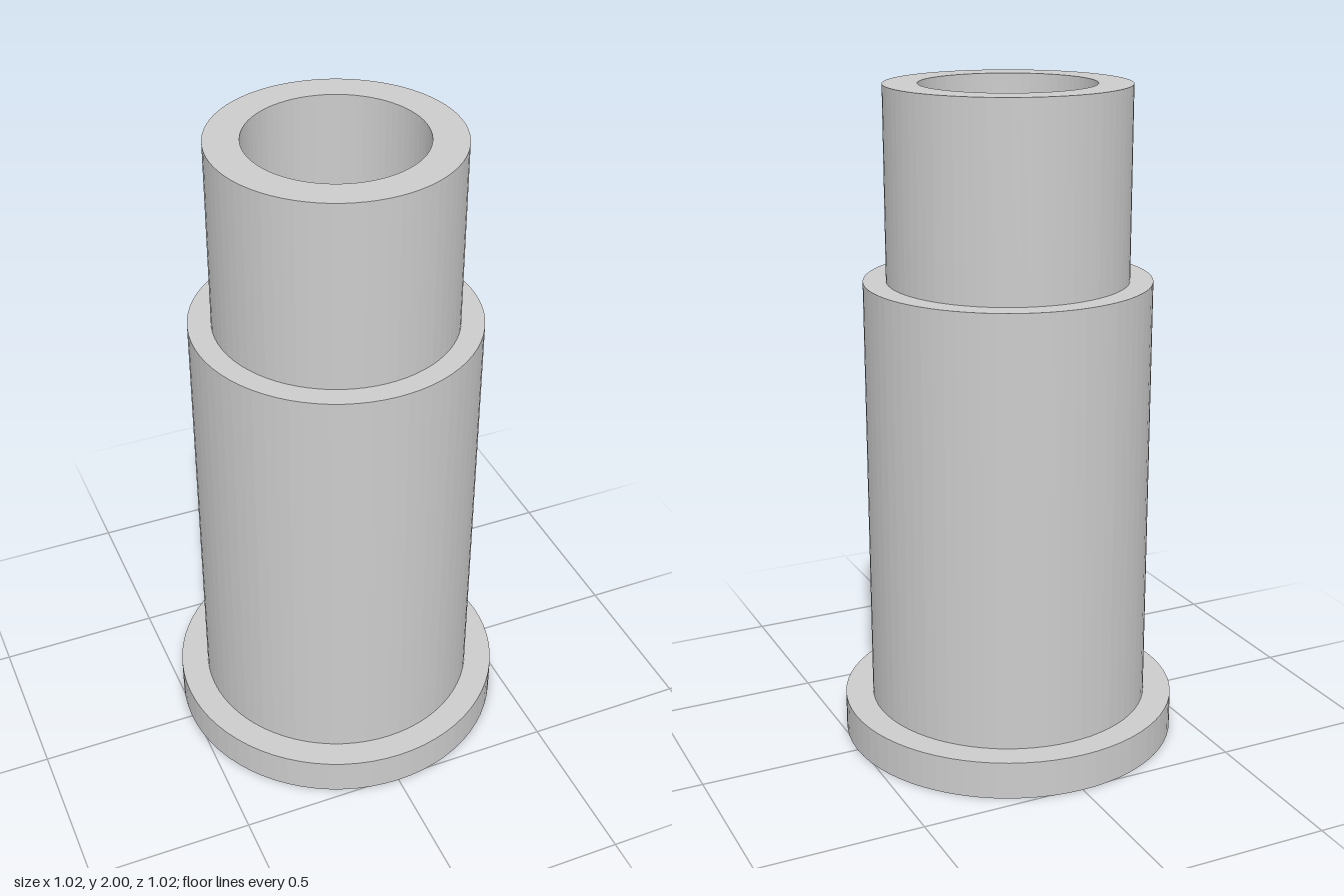
import * as THREE from 'three';

export function createModel() {
  const group = new THREE.Group();
  group.name = 'steppedSleeve';

  const flangeR = 0.512, bodyR = 0.427, neckR = 0.359; // outer radii
  const neckBoreR = 0.258, bodyBoreR = 0.359;          // inner radii
  const flangeTop = 0.115, shoulder = 1.43, top = 2;
  const boreStep = 1.32;                               // ledge inside, just under the shoulder

  // Closed wall section: up the outside, across the rim, down the bore
  const profile = [
    [bodyBoreR, 0],
    [flangeR, 0], [flangeR, flangeTop],
    [bodyR, flangeTop], [bodyR, shoulder],
    [neckR, shoulder], [neckR, top],
    [neckBoreR, top], [neckBoreR, boreStep],
    [bodyBoreR, boreStep], [bodyBoreR, 0],
  ].map(([r, y]) => new THREE.Vector2(r, y));

  const sleeve = new THREE.Mesh(
    new THREE.LatheGeometry(profile, 72),
    new THREE.MeshStandardMaterial({ color: 0xcccccc, flatShading: true })
  );
  sleeve.name = 'flangedSleeve';
  group.add(sleeve);
  return group;
}
